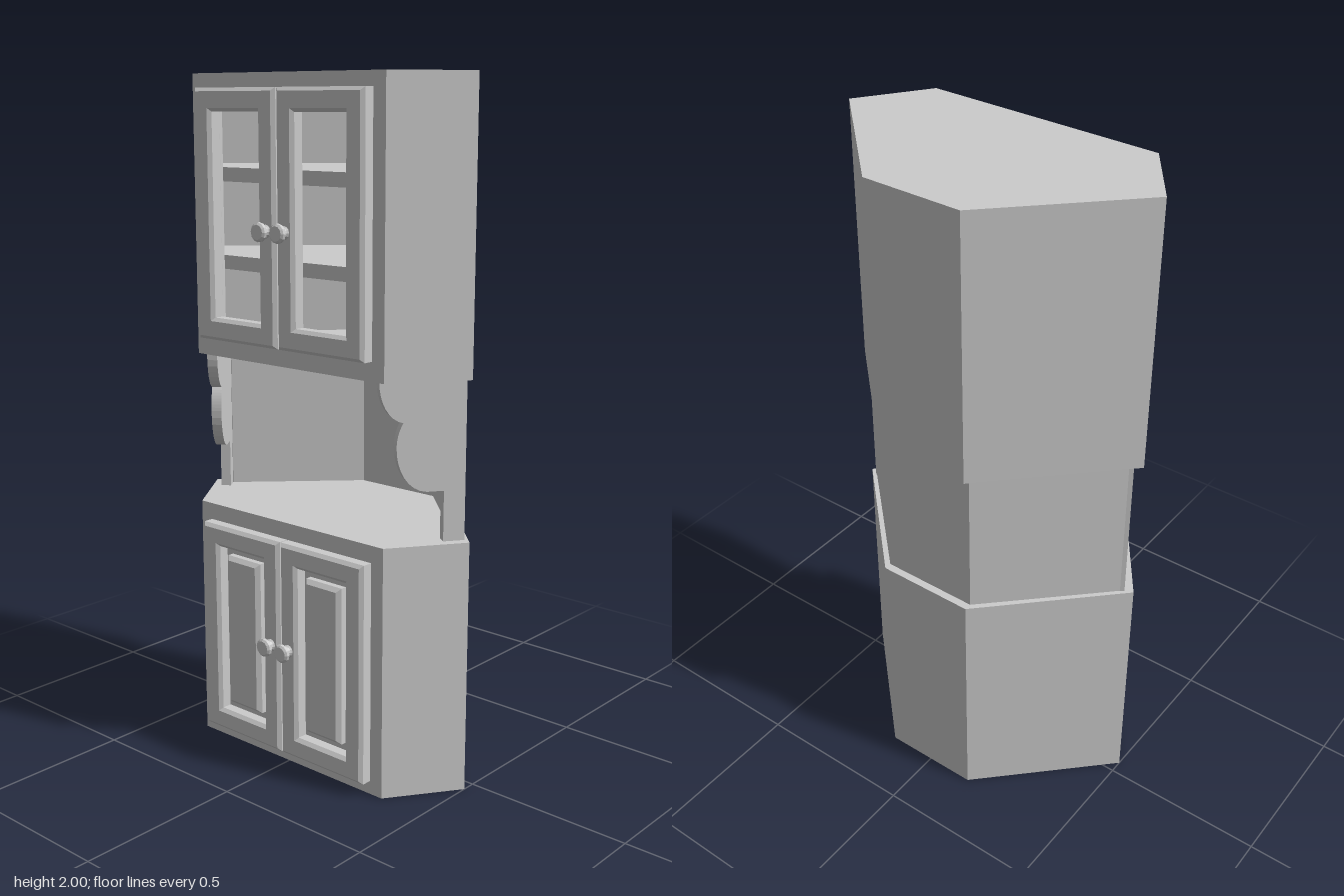
import * as THREE from 'three';

const material = new THREE.MeshStandardMaterial({ color: 0xcccccc });

function add(parent, name, geometry) {
  const mesh = new THREE.Mesh(geometry, material);
  mesh.name = name;
  parent.add(mesh);
  return mesh;
}

const polygon = (points) => new THREE.Shape(points.map(([x, y]) => new THREE.Vector2(x, y)));

const rect = (u0, u1, v0, v1) => polygon([[u0, v0], [u1, v0], [u1, v1], [u0, v1]]);

// Half outline (z > 0) mirrored to a full outline
const mirrored = (half) => [...half, ...half.map(([x, z]) => [x, -z]).reverse()];

// Horizontal slab: plan outline (x, z) raised from y0 to y1
function slab(points, y0, y1) {
  const g = new THREE.ExtrudeGeometry(polygon(points), { depth: y1 - y0, bevelEnabled: false });
  return g.rotateX(-Math.PI / 2).translate(0, y0, 0);
}

// Upright panel: outline (z, y) extruded towards -x, with its face at x = front
function panel(shape, front, depth, bevel = 0) {
  const g = new THREE.ExtrudeGeometry(shape, {
    depth: depth - bevel, bevelEnabled: bevel > 0, bevelSize: bevel,
    bevelThickness: bevel, bevelOffset: -bevel, bevelSegments: 1,
  });
  return g.rotateY(-Math.PI / 2).translate(front + depth, 0, 0);
}

const outer = [[-0.24, 0.357], [-0.04, 0.5], [0.31, 0.15]];
const inner = [[-0.215, 0.344], [-0.04, 0.468], [0.285, 0.142]];

function createKnob(parent, y, z) {
  const profile = [[0, 0], [0.02, 0], [0.016, 0.006], [0.014, 0.016], [0.021, 0.018],
    [0.027, 0.022], [0.027, 0.031], [0.021, 0.036], [0, 0.036]];
  const g = new THREE.LatheGeometry(profile.map(([r, h]) => new THREE.Vector2(r, h)), 12);
  const knob = add(parent, 'knob', g.toNonIndexed());
  knob.geometry.computeVertexNormals();
  knob.rotation.z = Math.PI / 2;
  knob.position.set(-0.279, y, z);
}

function createDoor(side, y0, y1, glazed) {
  const door = new THREE.Group();
  door.name = glazed ? 'openDoor' : 'panelDoor';
  const [z0, z1] = side > 0 ? [0.002, 0.315] : [-0.315, -0.002];
  const stile = 0.065;
  const frame = rect(z0, z1, y0, y1);
  frame.holes.push(rect(z0 + stile, z1 - stile, y0 + stile, y1 - stile));
  add(door, 'doorFrame', panel(frame, -0.28, 0.04, 0.01));
  if (!glazed) {
    // raised field inside the frame
    const m = stile + 0.025;
    add(door, 'doorPanel', panel(rect(z0 + m, z1 - m, y0 + m, y1 - m), -0.272, 0.03, 0.012));
  }
  createKnob(door, glazed ? 1.575 : 0.37, side * 0.035);
  return door;
}

function createUpperCabinet() {
  const upper = new THREE.Group();
  upper.name = 'upperCabinet';
  // walls, open at the front
  const insideHalf = [[-0.24, 0.326], ...inner.slice(1)];
  const full = mirrored(outer);
  const inside = mirrored(insideHalf);
  add(upper, 'walls', slab([...full, ...inside.reverse()], 1.195, 2));
  add(upper, 'floor', slab(full, 1.195, 1.225));
  add(upper, 'roof', slab(full, 1.97, 2));
  const face = rect(-0.357, 0.357, 1.195, 2);
  face.holes.push(rect(-0.265, 0.265, 1.3, 1.91));
  add(upper, 'faceFrame', panel(face, -0.24, 0.025));
  for (const y of [1.47, 1.72]) add(upper, 'shelf', slab(mirrored(inner), y - 0.02, y + 0.02));
  return upper;
}

function createNiche() {
  const niche = new THREE.Group();
  niche.name = 'niche';
  const back = mirrored([[-0.03, 0.472], [0.287, 0.15]]);
  const front = mirrored([[-0.03, 0.437], [0.262, 0.14]]).reverse();
  add(niche, 'backWalls', slab([...back, ...front], 0.74, 1.195));

  // scalloped bracket, measured along the angled side
  const u = (x) => (-0.03 - x) / 0.814;
  const s = new THREE.Shape();
  s.moveTo(0, 0.74);
  s.lineTo(u(-0.08), 0.74);
  s.lineTo(u(-0.08), 0.885);
  s.lineTo(u(-0.12), 0.885);
  s.bezierCurveTo(u(-0.165), 0.89, u(-0.19), 0.95, u(-0.19), 1.01);
  s.quadraticCurveTo(u(-0.19), 1.05, u(-0.175), 1.08);
  s.bezierCurveTo(u(-0.21), 1.09, u(-0.23), 1.14, u(-0.23), 1.195);
  s.lineTo(0, 1.195);
  const thick = 0.03;
  for (const side of [1, -1]) {
    const g = new THREE.ExtrudeGeometry(s, { depth: thick, bevelEnabled: false, curveSegments: 8 });
    if (side < 0) g.translate(0, 0, -thick);
    const bracket = add(niche, 'scallopedBracket', g);
    bracket.rotation.y = side > 0 ? Math.PI - 0.62 : Math.PI + 0.62;
    if (side < 0) bracket.geometry.translate(0, 0, thick);
    // the far side is extruded inwards by shifting along its normal
    const shift = side < 0 ? thick : 0;
    bracket.position.set(-0.03 + shift * 0.58, 0, side * 0.475 + shift * 0.814);
  }
  return niche;
}

export function createModel() {
  const model = new THREE.Group();
  model.name = 'cornerCabinet';
  add(model, 'lowerCabinet', slab(mirrored(outer), 0, 0.74));
  model.add(createNiche(), createUpperCabinet());
  for (const side of [1, -1]) {
    model.add(createDoor(side, 0.04, 0.69, false));
    model.add(createDoor(side, 1.25, 1.96, true));
  }
  return model;
}
